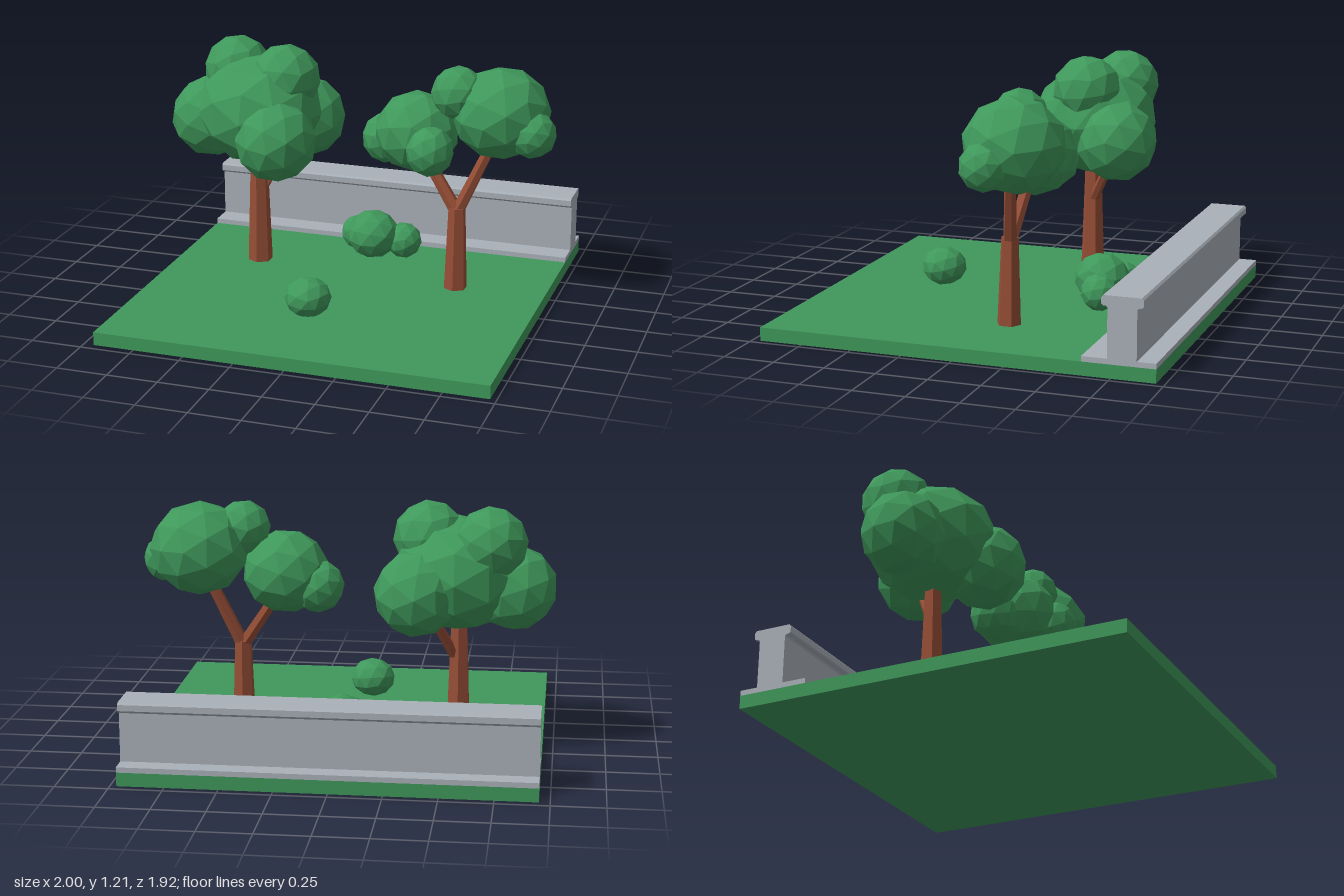
import * as THREE from 'three';

const mat = (name, color) => Object.assign(new THREE.MeshStandardMaterial({ color }), { name });

// Give every face its own normal for a faceted look
function faceted(geometry) {
  const g = geometry.index ? geometry.toNonIndexed() : geometry;
  g.computeVertexNormals();
  return g;
}

export function createModel() {
  const model = new THREE.Group();
  model.name = 'parkScene';
  const green = mat('leaf green', 0x3f985b);
  const bark = mat('bark brown', 0x964e36);
  const stone = mat('stone grey', 0xa9b0b8);

  const add = (parent, name, geometry, material) => {
    const mesh = new THREE.Mesh(geometry, material);
    mesh.name = name;
    parent.add(mesh);
    return mesh;
  };
  const group = (name) => {
    const g = new THREE.Group();
    g.name = name;
    model.add(g);
    return g;
  };

  // Faceted clumps: [x, y, z, radius, optional y radius]
  let turn = 0;
  const clumps = (parent, name, list) => {
    for (const [x, y, z, r, ry = r] of list) {
      const g = faceted(new THREE.IcosahedronGeometry(1.03, 1));
      g.rotateY(turn).rotateX(turn * 0.6);
      turn += 0.9;
      const clump = add(parent, name, g, green);
      clump.scale.set(r, ry, r);
      clump.position.set(x, y, z);
    }
  };

  // Tapered six-sided limb between two points
  const limb = (parent, name, from, to, r0, r1) => {
    const a = new THREE.Vector3(...from), b = new THREE.Vector3(...to);
    const dir = b.clone().sub(a);
    const g = faceted(new THREE.CylinderGeometry(r1, r0, dir.length(), 6));
    const mesh = add(parent, name, g, bark);
    mesh.position.copy(a).add(b).multiplyScalar(0.5);
    mesh.quaternion.setFromUnitVectors(new THREE.Vector3(0, 1, 0), dir.normalize());
  };

  // Lawn slab
  const lawn = add(model, 'lawn', new THREE.BoxGeometry(1.92, 0.065, 1.92), green);
  lawn.position.set(0.01, 0.0325, 0);

  // Wall: half profile (distance from its middle, height), mirrored and swept along x
  const half = [[0.068, 0.09], [0.068, 0.322], [0.075, 0.331], [0.088, 0.331],
    [0.097, 0.339], [0.097, 0.368], [0.088, 0.378]];
  const profile = new THREE.Shape([...half, ...half.map(([u, y]) => [-u, y]).reverse()]
    .map(([u, y]) => new THREE.Vector2(u, y)));
  const wallGeo = new THREE.ExtrudeGeometry(profile, { depth: 1.92, bevelEnabled: false });
  wallGeo.rotateY(Math.PI / 2);
  const wall = group('wall');
  add(wall, 'wallBody', wallGeo, stone).position.set(-0.95, 0, -0.803);
  add(wall, 'wallFooting', new THREE.BoxGeometry(1.92, 0.025, 0.345), stone).position.set(0.01, 0.0775, -0.7875);

  // Full tree
  const fullTree = group('fullTree');
  limb(fullTree, 'trunk', [-0.54, 0.06, -0.19], [-0.54, 0.8, -0.19], 0.063, 0.037);
  limb(fullTree, 'branch', [-0.53, 0.44, -0.19], [-0.4, 0.72, -0.34], 0.026, 0.022);
  clumps(fullTree, 'foliage', [
    [-0.53, 0.87, -0.2, 0.31, 0.27],
    [-0.8, 0.805, -0.21, 0.2],
    [-0.38, 0.775, 0, 0.2],
    [-0.35, 0.8, -0.37, 0.2],
    [-0.69, 1.035, -0.31, 0.17],
    [-0.395, 1.04, -0.2, 0.17],
  ]);

  // Forked tree
  const forkedTree = group('forkedTree');
  limb(forkedTree, 'trunk', [0.52, 0.06, -0.115], [0.52, 0.485, -0.12], 0.059, 0.043);
  limb(forkedTree, 'branch', [0.52, 0.46, -0.12], [0.31, 0.78, -0.16], 0.034, 0.027);
  limb(forkedTree, 'branch', [0.52, 0.46, -0.12], [0.68, 0.82, -0.18], 0.034, 0.027);
  clumps(forkedTree, 'foliage', [
    [0.71, 0.96, -0.21, 0.235, 0.22],
    [0.885, 0.89, -0.13, 0.113],
    [0.505, 1.055, -0.165, 0.13],
    [0.3, 0.845, -0.16, 0.205, 0.195],
    [0.14, 0.785, -0.2, 0.125],
    [0.41, 0.8, 0, 0.115, 0.122],
  ]);

  // Bushes
  clumps(group('backBush'), 'bushClump', [
    [0, 0.185, -0.41, 0.133, 0.12],
    [0.155, 0.155, -0.445, 0.09],
    [-0.1, 0.16, -0.48, 0.088],
  ]);
  clumps(group('frontBush'), 'bushClump', [[-0.06, 0.157, 0.445, 0.11, 0.095]]);

  return model;
}
